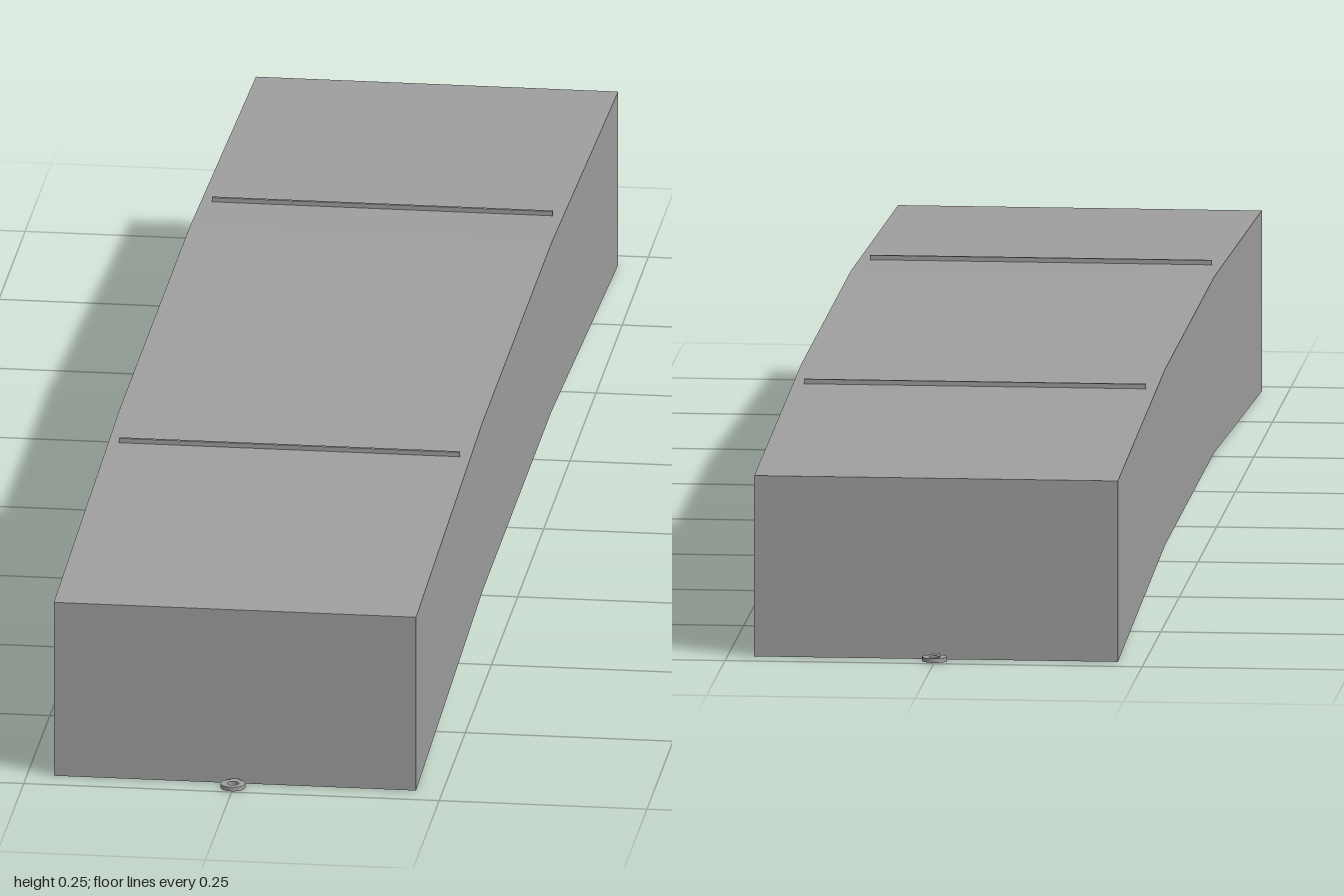
import * as THREE from 'three';

export function createModel() {
  const group = new THREE.Group();
  const grey = new THREE.MeshStandardMaterial({ color: 0xa0a0a0 });
  grey.name = 'grey';

  const add = (name, geometry) => {
    const mesh = new THREE.Mesh(geometry, grey);
    mesh.name = name;
    group.add(mesh);
    return mesh;
  };

  // Arched slab: side profile (z, y) extruded across the width
  const width = 0.436;
  const profile = [
    [-0.967, 0.001], [-0.33, 0.035], [0.33, 0.035], [0.967, 0.001],
    [0.967, 0.22], [0.33, 0.248], [-0.33, 0.248], [-0.967, 0.22],
  ].map(([z, y]) => new THREE.Vector2(z, y));
  const slab = new THREE.ExtrudeGeometry(new THREE.Shape(profile), { depth: width, bevelEnabled: false });
  slab.translate(0, 0, -width / 2);
  slab.rotateY(-Math.PI / 2);
  add('body', slab);

  // Flat eyelet with a centre hole
  const eyelet = new THREE.Shape();
  eyelet.absarc(0, 0, 0.015, 0, Math.PI * 2);
  const hole = new THREE.Path();
  hole.absarc(0, 0, 0.007, 0, Math.PI * 2, true);
  eyelet.holes.push(hole);
  const eyeletGeometry = new THREE.ExtrudeGeometry(eyelet, { depth: 0.005, bevelEnabled: false, curveSegments: 12 });
  eyeletGeometry.rotateX(-Math.PI / 2);

  for (const [end, side] of [['front', 1], ['back', -1]]) {
    // Thin raised strip across the top
    add(end + 'Strip', new THREE.BoxGeometry(0.41, 0.008, 0.004)).position.set(0, 0.2445, side * 0.443);

    // Coupling eyelet and its neck
    add(end + 'Eyelet', eyeletGeometry).position.set(0, 0.002, side * 0.985);
    add(end + 'EyeletNeck', new THREE.BoxGeometry(0.009, 0.005, 0.008)).position.set(0, 0.0045, side * 0.969);
  }
  return group;
}
